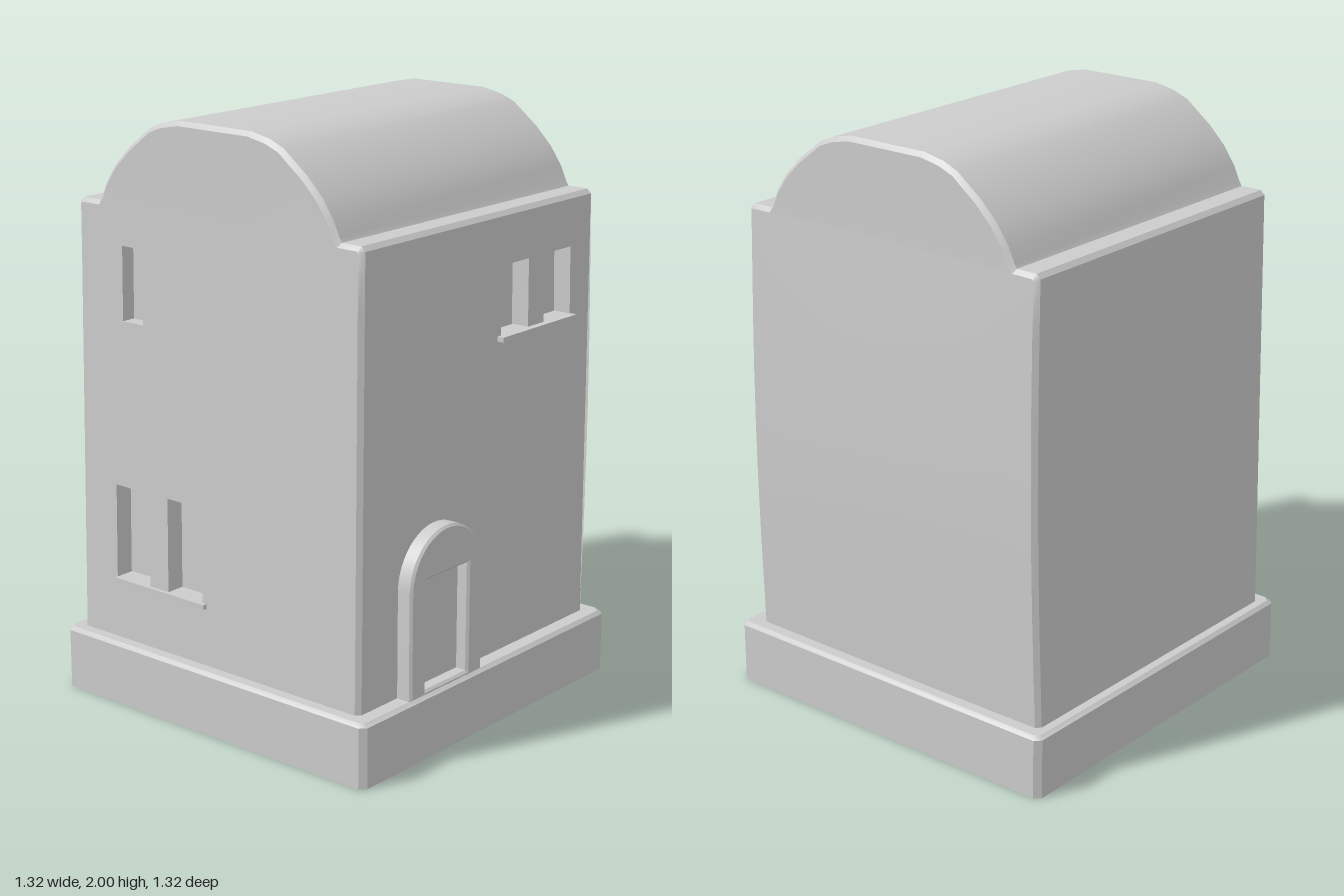
import * as THREE from 'three';
import { mergeGeometries, toCreasedNormals } from 'three/addons/utils/BufferGeometryUtils.js';

const material = new THREE.MeshStandardMaterial({ color: 0xcccccc, side: THREE.DoubleSide });
const WALL = 0.6, FLOOR = 0.215, EAVE = 1.69, BEVEL = 0.015, STEPS = 8;

// Surface through rows of [x, y, z] points
function grid(rows) {
  const pos = [];
  for (let i = 0; i < rows.length - 1; i++) {
    for (let j = 0; j < rows[i].length - 1; j++) {
      const a = rows[i][j], b = rows[i + 1][j], c = rows[i + 1][j + 1], d = rows[i][j + 1];
      pos.push(...a, ...b, ...c, ...a, ...c, ...d);
    }
  }
  const geo = new THREE.BufferGeometry();
  geo.setAttribute('position', new THREE.Float32BufferAttribute(pos, 3));
  return geo;
}

// Flat wall in the xy plane with recessed windows [x0, x1, y0, y1, depth]
function wallPanel(points, windows) {
  const shape = new THREE.Shape(points.map(([x, y]) => new THREE.Vector2(x, y)));
  const parts = [];
  for (const [x0, x1, y0, y1, depth] of windows) {
    const loop = [[x0, y0], [x0, y1], [x1, y1], [x1, y0], [x0, y0]];
    shape.holes.push(new THREE.Path(loop.slice(0, 4).map(([x, y]) => new THREE.Vector2(x, y))));
    parts.push(grid([0, -depth].map((z) => loop.map(([x, y]) => [x, y, z]))));
    parts.push(grid([[[x0, y0, -depth], [x0, y1, -depth]], [[x1, y0, -depth], [x1, y1, -depth]]]));
  }
  const face = new THREE.ShapeGeometry(shape).toNonIndexed();
  face.deleteAttribute('uv');
  face.deleteAttribute('normal');
  return mergeGeometries([face, ...parts]);
}

// Hand-built look: walls spread slightly to the foot and the back bows out
function warp(geo) {
  const p = geo.attributes.position;
  for (let i = 0; i < p.count; i++) {
    const x = p.getX(i), y = p.getY(i), z = p.getZ(i);
    const t = THREE.MathUtils.clamp((1.7 - y) / 1.48, 0, 1);
    if (x < 0) p.setX(i, x * (1 + 0.033 * t));
    const bow = (0.016 * Math.sin(Math.PI * t) + 0.008 * t) * (1.4 - 0.4 * (x / WALL) ** 2);
    p.setZ(i, z * (1 + (z > 0 ? 0.012 * t : bow) / WALL));
  }
  return geo;
}

function add(group, name, geo) {
  const mesh = new THREE.Mesh(geo, material);
  mesh.name = name;
  group.add(mesh);
  return mesh;
}

const smooth = (geo) => toCreasedNormals(geo, 0.6);

function box(group, name, size, position) {
  add(group, name, new THREE.BoxGeometry(...size)).position.set(...position);
}

export function createModel() {
  const house = new THREE.Group();
  house.name = 'house';

  // Front outline: right wall, eave ledge, barrel roof, then mirrored
  const half = [];
  for (let i = 0; i <= STEPS; i++) half.push([WALL, FLOOR + (EAVE - FLOOR) * i / STEPS]);
  half.push([0.585, 1.705], [0.51, 1.705], [0.5, 1.72], [0.477, 1.77], [0.435, 1.83],
    [0.375, 1.89], [0.28, 1.963], [0.225, 1.985], [0.15, 2]);
  const outline = [...half, ...half.map(([x, y]) => [-x, y]).reverse()];
  const last = outline.length - 1;
  const inset = outline.map(([x, y], i) => {
    const n = new THREE.Vector2();
    for (const k of [i - 1, i]) {
      if (k < 0 || k >= last) continue;
      const [a, b] = [outline[k], outline[k + 1]];
      n.add(new THREE.Vector2(b[1] - a[1], a[0] - b[0]).normalize());
    }
    n.normalize();
    return [x - n.x * BEVEL, y - n.y * BEVEL];
  });
  const slice = (pts, z) => pts.map(([x, y]) => [x, y, z]);
  const zIn = WALL - BEVEL;

  // Front wall with a small upper window and a lower pair
  const front = wallPanel(inset, [
    [-0.4, -0.31, 1.32, 1.57, 0.05],
    [-0.44, -0.29, 0.43, 0.755, 0.065],
    [-0.21, -0.06, 0.43, 0.755, 0.065],
  ]).translate(0, 0, WALL);
  add(house, 'frontWall', smooth(warp(front)));

  // Side wall with an upper window pair; panel x runs along -z
  const ys = half.slice(0, STEPS + 1).map((p) => p[1]);
  const sidePoints = [...ys.map((y) => [zIn, y]), ...[...ys].reverse().map((y) => [-zIn, y])];
  const side = wallPanel(sidePoints, [
    [0.095, 0.24, 1.3, 1.53, 0.065],
    [0.325, 0.47, 1.3, 1.53, 0.065],
  ]).rotateY(Math.PI / 2).translate(WALL, 0, 0);
  add(house, 'doorWall', smooth(warp(side)));

  // Plain side wall and barrel roof
  const span = (pts) => smooth(warp(grid([slice(pts, zIn), slice(pts, -zIn)])));
  add(house, 'plainSideWall', span(outline.slice(last - STEPS)));
  add(house, 'roof', span(outline.slice(STEPS, last - STEPS + 1)));

  // Back wall, spanned between mirrored outline points
  const backRows = half.map((_, i) => {
    const a = inset[last - i], b = inset[i], row = [];
    for (let j = 0; j <= 10; j++) row.push([THREE.MathUtils.lerp(a[0], b[0], j / 10), a[1], -WALL]);
    return row;
  });
  add(house, 'backWall', smooth(warp(grid(backRows))));

  // Chamfers around the front and back walls
  const chamfers = [
    grid([slice(inset, WALL), slice(outline, zIn)]),
    grid([slice(outline, -zIn), slice(inset, -WALL)]),
  ];
  add(house, 'edgeChamfers', smooth(warp(mergeGeometries(chamfers))));

  // Open plinth with chamfered corners
  const ring = (r, y) => {
    const c = r - 0.02;
    return [[r, c], [r, -c], [c, -r], [-c, -r], [-r, -c], [-r, c], [-c, r], [c, r], [r, c]]
      .map(([x, z]) => [x, y, z]);
  };
  const plinth = grid([ring(0.59, 0.217), ring(0.648, 0.217), ring(0.66, 0.205), ring(0.66, 0)]);
  add(house, 'plinth', smooth(plinth));

  // Window sills
  box(house, 'frontSill', [0.405, 0.017, 0.085], [-0.2475, 0.423, 0.582]);
  box(house, 'sideSill', [0.085, 0.017, 0.405], [0.582, 1.293, -0.2825]);

  // Arched door surround
  const b = 0.008, r = 0.185 - b;
  const arch = new THREE.Shape();
  arch.moveTo(-r, FLOOR + b).lineTo(r, FLOOR + b).lineTo(r, 0.575);
  arch.absarc(0, 0.575, r, 0, Math.PI, false);
  arch.lineTo(-r, FLOOR + b);
  const opening = new THREE.Path();
  opening.moveTo(-0.116, FLOOR + b + 0.002).lineTo(-0.116, 0.613).lineTo(0.116, 0.613)
    .lineTo(0.116, FLOOR + b + 0.002).closePath();
  arch.holes.push(opening);
  const surround = new THREE.ExtrudeGeometry(arch, {
    depth: 0.055 - b, bevelSize: b, bevelThickness: b, bevelSegments: 1, curveSegments: 20,
  }).rotateY(Math.PI / 2).translate(WALL, 0, 0.235);
  add(house, 'doorSurround', smooth(surround));

  // Door leaf
  box(house, 'door', [0.02, 0.39, 0.225], [0.6, 0.412, 0.235]);

  return house;
}
